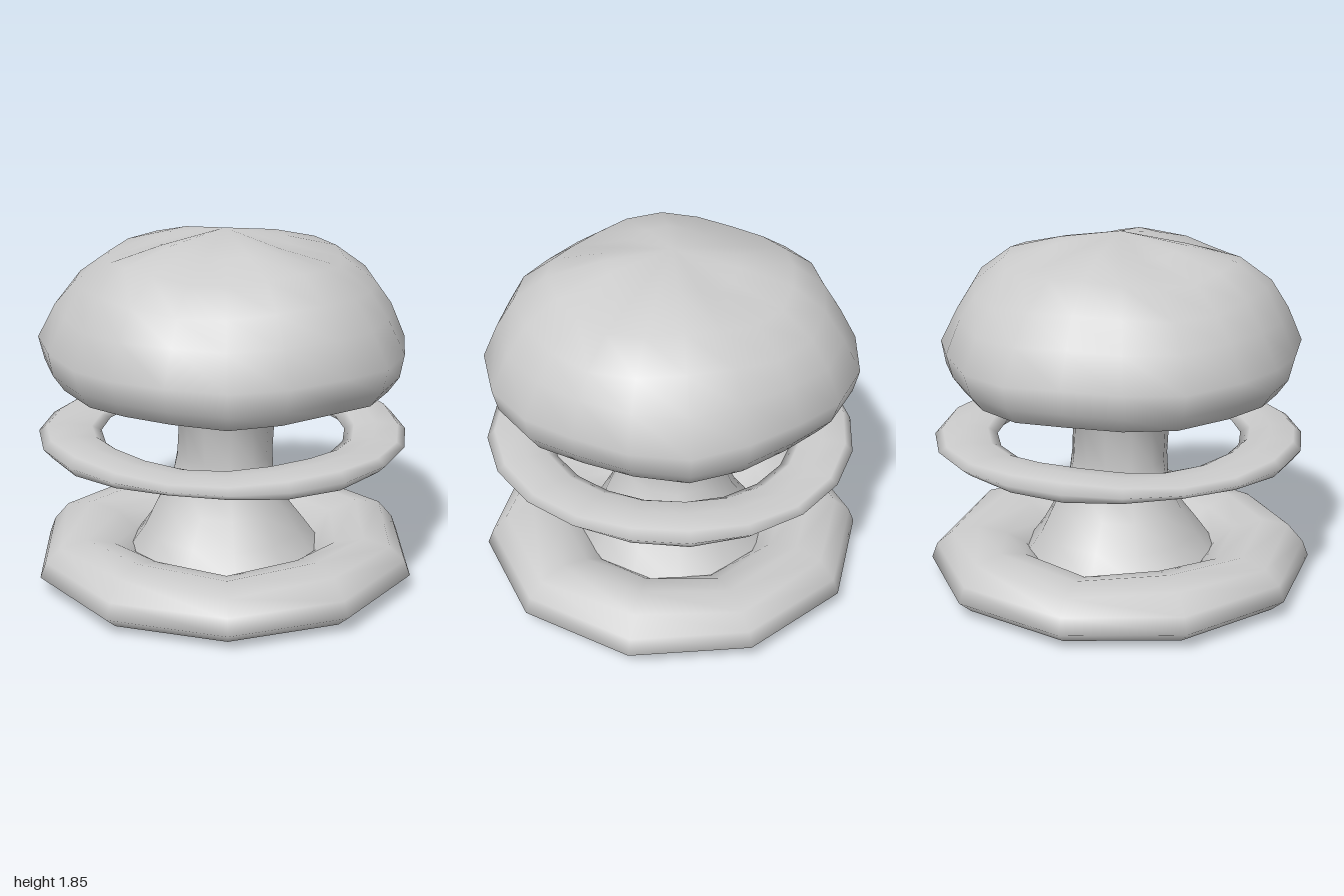
import * as THREE from 'three';
import { mergeVertices } from 'three/addons/utils/BufferGeometryUtils.js';

const material = new THREE.MeshStandardMaterial({ color: 0xcccccc, side: THREE.DoubleSide });

// Revolves a profile of [radius, y], displaces it by a rule and welds it for smooth normals
function lumpyLathe(name, profile, sides, rule) {
  let geo = new THREE.LatheGeometry(profile.map(([r, y]) => new THREE.Vector2(r, y)), sides);
  const pos = geo.attributes.position;
  for (let i = 0; i < pos.count; i++) {
    const x = pos.getX(i), y = pos.getY(i), z = pos.getZ(i);
    const { scale = 1, lift = 0 } = rule(Math.atan2(x, z), y, Math.hypot(x, z));
    pos.setXYZ(i, x * scale, y + lift, z * scale);
  }
  geo.deleteAttribute('uv');
  geo.deleteAttribute('normal');
  geo = mergeVertices(geo, 1e-4);
  geo.computeVertexNormals();
  const mesh = new THREE.Mesh(geo, material);
  mesh.name = name;
  return mesh;
}

export function createModel() {
  const group = new THREE.Group();
  group.name = 'mushroomCloud';

  // Ten-sided ground ring with a gently wavy crest
  group.add(lumpyLathe('groundRing', [
    [1, 0.09], [0.97, 0.17], [0.89, 0.25], [0.75, 0.28], [0.6, 0.24], [0.5, 0.17],
    [0.45, 0.1], [0.49, 0.05], [0.6, 0.01], [0.78, 0], [0.93, 0.03], [1, 0.09],
  ], 10, (a, y) => ({ lift: y > 0.2 ? 0.015 * Math.cos(5 * a) : 0 })));

  // Hollow stem, flaring at both ends
  group.add(lumpyLathe('stem', [
    [0.52, 0.13], [0.42, 0.27], [0.34, 0.4], [0.265, 0.55], [0.25, 0.66],
    [0.25, 0.86], [0.32, 1.03], [0.4, 1.16],
  ], 12, (a, y) => ({ scale: 1 + (y > 0.3 && y < 1 ? 0.06 * Math.sin(3 * a + y * 5) : 0) })));

  // Thin floating ring
  group.add(lumpyLathe('floatingRing', [
    [0.95, 0.785], [0.91, 0.82], [0.79, 0.83], [0.68, 0.815], [0.63, 0.785],
    [0.68, 0.75], [0.79, 0.735], [0.91, 0.745], [0.95, 0.785],
  ], 20, (a, y) => ({
    scale: 1 + 0.012 * Math.cos(3 * a),
    lift: Math.abs(y - 0.785) > 0.02 ? Math.sign(y - 0.785) * 0.012 * Math.cos(4 * a + 0.3) : 0,
  })));

  // Billowing cap with a recessed underside
  group.add(lumpyLathe('cap', [
    [0, 1.16], [0.3, 1.13], [0.45, 1.06], [0.68, 1.03], [0.84, 1.08], [0.9, 1.16],
    [0.93, 1.28], [0.85, 1.45], [0.76, 1.6], [0.6, 1.72], [0.33, 1.79], [0, 1.85],
  ], 20, (a, y, r) => ({
    scale: 1 + 0.018 * Math.cos(5 * a + y * 4) + 0.012 * Math.sin(2 * a + 1),
    lift: r < 0.05 ? 0 : (y > 1.5 ? 0.02 * Math.cos(4 * a) - 0.01 : 0.012 * Math.cos(6 * a)),
  })));

  return group;
}
